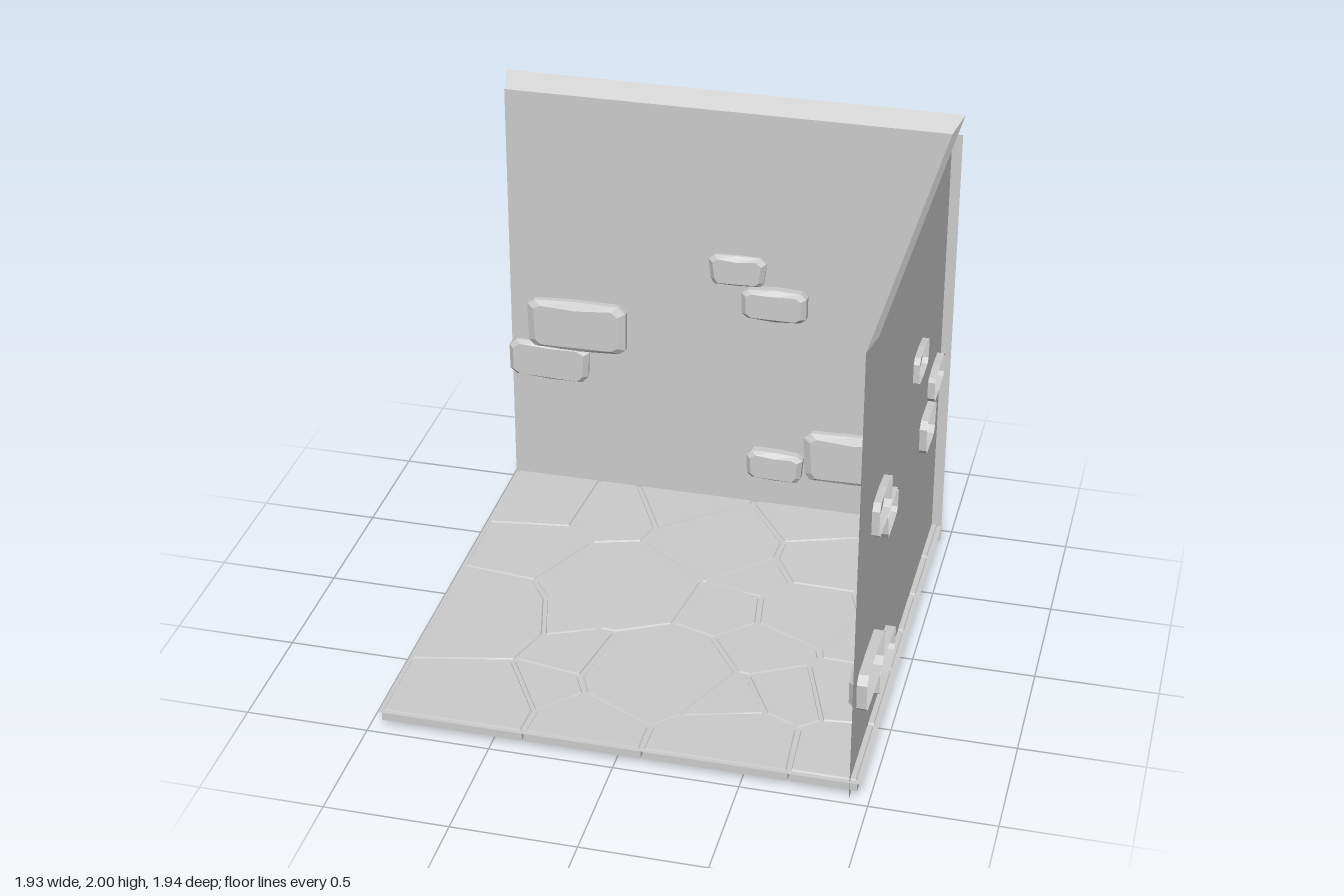
import * as THREE from 'three';

const material = new THREE.MeshStandardMaterial({ color: 0xcccccc, flatShading: true, side: THREE.DoubleSide });

// Non-indexed geometry from a flat list of triangle corners
function fromCorners(corners) {
  const g = new THREE.BufferGeometry();
  g.setAttribute('position', new THREE.Float32BufferAttribute(corners.flat(), 3));
  g.computeVertexNormals();
  return g;
}

function addMesh(parent, name, geometry) {
  const mesh = new THREE.Mesh(geometry, material);
  mesh.name = name;
  parent.add(mesh);
  return mesh;
}

const quad = (a, b, c, d) => [a, b, c, a, c, d];

// Move each outline point towards the middle by a fixed distance
function inset(points, distance) {
  const cx = points.reduce((s, p) => s + p[0], 0) / points.length;
  const cy = points.reduce((s, p) => s + p[1], 0) / points.length;
  return points.map(([x, y]) => {
    const k = Math.min(0.9, distance / Math.hypot(x - cx, y - cy));
    return [x + (cx - x) * k, y + (cy - y) * k];
  });
}

// Hollow stone facing +z: open back rim, straight sides, bevel and flat face
function hollowStone(outline, back, shoulder, front, bevel) {
  const n = outline.length;
  const face = inset(outline, bevel);
  const loops = [[outline, back], [outline, shoulder], [face, front]]
    .map(([pts, z]) => pts.map(([x, y]) => [x, y, z]));
  const corners = [];
  for (let k = 0; k < 2; k++) {
    for (let i = 0; i < n; i++) {
      const j = (i + 1) % n;
      corners.push(...quad(loops[k][i], loops[k][j], loops[k + 1][j], loops[k + 1][i]));
    }
  }
  for (let i = 1; i < n - 1; i++) corners.push(loops[2][0], loops[2][i], loops[2][i + 1]);
  return fromCorners(corners);
}

// Brick outline with cut corners and slightly uneven edges
function brickOutline(x0, x1, y0, y1, seed) {
  const c = Math.min(0.032, (y1 - y0) * 0.18);
  const w = (k) => 0.005 * (1 + Math.sin(seed * 2.3 + k * 1.9));
  const mid = (x0 + x1) / 2;
  return [
    [x0 + c, y0 + w(0)], [mid, y0], [x1 - c, y0 + w(1)], [x1 - w(2), y0 + c],
    [x1, y1 - c], [x1 - c, y1 - w(3)], [mid, y1], [x0 + c, y1 - w(4)],
    [x0, y1 - c], [x0 + w(5), y0 + c],
  ];
}

// Bricks: [from, to, bottom, top, depth behind wall, depth in front]
function addBricks(wall, list) {
  list.forEach(([x0, x1, y0, y1, back, front], i) => {
    const bevel = y1 - y0 > 0.2 ? 0.035 : 0.022;
    addMesh(wall, 'wallBrick', hollowStone(brickOutline(x0, x1, y0, y1, i), -back, front - 0.02, front, bevel));
  });
}

// Thin wall facing +z with a top lip that leans backwards and is mitred at the corner
function makeWall(name, x0, x1, cornerAtEnd) {
  const wall = new THREE.Group();
  wall.name = name;
  const lip = 0.043, bend = 1.93;
  addMesh(wall, 'wallPanel', fromCorners(quad([x0, 0, 0], [x1, 0, 0], [x1, bend, 0], [x0, bend, 0])));
  const l = cornerAtEnd ? x0 : x0 + lip;
  const r = cornerAtEnd ? x1 - lip : x1;
  addMesh(wall, 'wallTopLip', fromCorners(quad([l, bend, 0], [r, bend, 0], [x1, 2, -lip], [x0, 2, -lip])));
  return wall;
}

// Paving stones: middle x, middle z, approximate radius
const paving = [
  [-0.76, -0.69, 0.23], [-0.44, -0.67, 0.21], [-0.18, -0.80, 0.20], [0.04, -0.53, 0.27],
  [0.45, -0.82, 0.20], [0.81, -0.80, 0.16], [0.56, -0.51, 0.22], [0.86, -0.49, 0.13],
  [0.84, -0.22, 0.13], [0.25, -0.33, 0.15], [0.19, -0.06, 0.16], [0.55, -0.11, 0.22],
  [-0.71, -0.33, 0.21], [-0.27, -0.12, 0.32], [-0.43, 0.15, 0.16], [-0.77, 0.24, 0.30],
  [-0.32, 0.39, 0.17], [-0.36, 0.63, 0.13], [-0.65, 0.80, 0.25], [-0.16, 0.83, 0.15],
  [0.03, 0.45, 0.30], [0.42, 0.18, 0.16], [0.58, 0.47, 0.16], [0.35, 0.59, 0.17],
  [0.42, 0.83, 0.23], [0.86, 0.80, 0.15], [0.82, 0.06, 0.13], [0.81, 0.39, 0.18],
];

// Keep the part of a polygon where nx*x + ny*y <= d
function clip(poly, nx, ny, d) {
  const out = [];
  poly.forEach((p, i) => {
    const q = poly[(i + 1) % poly.length];
    const a = nx * p[0] + ny * p[1] - d;
    const b = nx * q[0] + ny * q[1] - d;
    if (a <= 0) out.push(p);
    if (a * b < 0) {
      const t = a / (a - b);
      out.push([p[0] + (q[0] - p[0]) * t, p[1] + (q[1] - p[1]) * t]);
    }
  });
  return out;
}

// Cell of one paving stone, cut off halfway to each neighbour with a narrow joint
function pavingCell(index) {
  const [x, z, r] = paving[index];
  const y = -z;
  let poly = [[-0.95, -0.957], [0.95, -0.957], [0.95, 0.945], [-0.95, 0.945]];
  paving.forEach(([ox, oz, or], k) => {
    if (k === index) return;
    const dx = ox - x, dy = -oz - y, dist = Math.hypot(dx, dy);
    const reach = (dist * dist + r * r - or * or) / (2 * dist) - 0.004;
    const nx = dx / dist, ny = dy / dist;
    poly = clip(poly, nx, ny, nx * x + ny * y + reach);
  });
  return poly;
}

export function createModel() {
  const model = new THREE.Group();
  model.name = 'roomCorner';

  // Floor: thin sheet with hollow paving stones set into it
  const floor = new THREE.Group();
  floor.name = 'floor';
  floor.rotation.x = -Math.PI / 2;
  addMesh(floor, 'floorSheet', new THREE.PlaneGeometry(1.925, 1.93)).position.set(0.0025, -0.005, 0.074);
  paving.forEach((_, i) => {
    const cell = pavingCell(i);
    if (cell.length > 2) addMesh(floor, 'pavingStone', hollowStone(cell, 0.03, 0.066, 0.08, 0.012));
  });
  model.add(floor);

  // Back wall
  const backWall = makeWall('backWall', -0.96, 0.965, true);
  backWall.position.z = -0.917;
  addBricks(backWall, [
    [-0.88, -0.44, 0.74, 0.98, 0.053, 0.045],
    [-0.97, -0.61, 0.58, 0.76, 0.04, 0.032],
    [-0.08, 0.17, 1.14, 1.28, 0.04, 0.03],
    [0.07, 0.35, 1.0, 1.15, 0.035, 0.055],
    [0.1, 0.35, 0.22, 0.36, 0.035, 0.055],
    [0.35, 0.79, 0.24, 0.48, 0.053, 0.045],
  ]);
  model.add(backWall);

  // Side wall, turned to face the inside of the room
  const sideWall = makeWall('sideWall', -0.96, 0.97, false);
  sideWall.rotation.y = -Math.PI / 2;
  sideWall.position.x = 0.922;
  addBricks(sideWall, [
    [-0.39, -0.16, 1.17, 1.3, 0.025, 0.035],
    [-0.83, -0.58, 0.87, 0.99, 0.03, 0.035],
    [-0.65, -0.41, 0.71, 0.87, 0.03, 0.037],
    [0.43, 0.7, 0.99, 1.15, 0.03, 0.037],
    [0.27, 0.49, 0.87, 0.99, 0.03, 0.035],
    [0.51, 0.89, 0.33, 0.5, 0.04, 0.033],
    [0.23, 0.58, 0.2, 0.33, 0.038, 0.025],
  ]);
  model.add(sideWall);

  return model;
}
